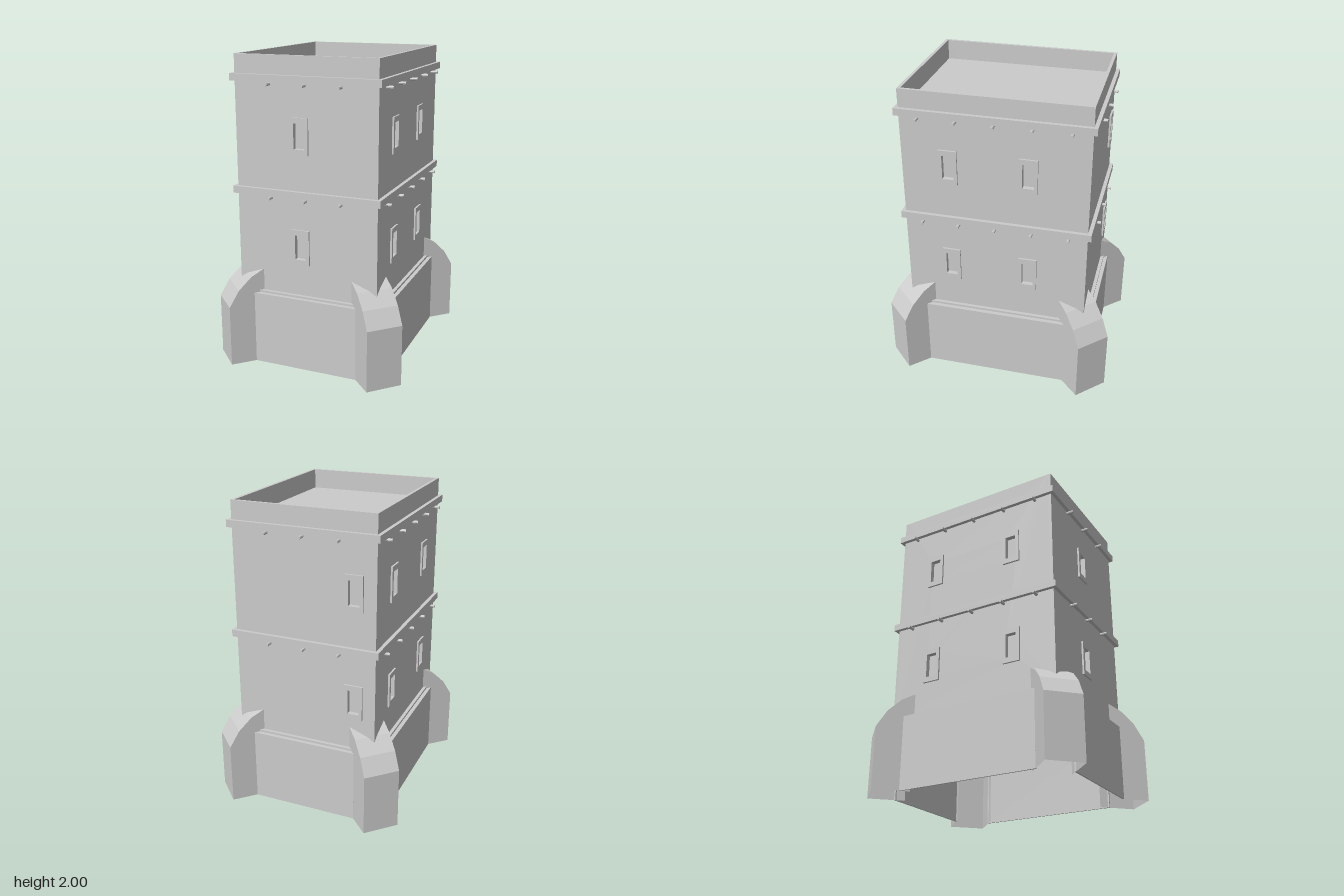
import * as THREE from 'three';

const grey = new THREE.MeshStandardMaterial({ color: 0xcccccc, flatShading: true });
const greyThin = new THREE.MeshStandardMaterial({ color: 0xcccccc, flatShading: true, side: THREE.DoubleSide });

const HX = 0.47, HZ = 0.588;      // half width and half depth of the tower
const WALL = 0.02;                // wall thickness
const FLOOR = 0.48, TOP = 2, ROOF = 1.87;
const BANDS = [1.13, 1.837];      // undersides of the two cornices
const STOREYS = [0.813, 1.518];   // window centre heights

function add(parent, name, geometry, x = 0, y = 0, z = 0, material = grey) {
  const mesh = new THREE.Mesh(geometry, material);
  mesh.name = name;
  mesh.position.set(x, y, z);
  parent.add(mesh);
  return mesh;
}

// Box centred on x and z, given by half sizes and its bottom and top
function slab(parent, name, hx, hz, y0, y1) {
  return add(parent, name, new THREE.BoxGeometry(hx * 2, y1 - y0, hz * 2), 0, (y0 + y1) / 2, 0);
}

// Trace a rectangle into a Shape or Path
function rect(path, cx, cy, w, h) {
  path.moveTo(cx - w / 2, cy - h / 2);
  path.lineTo(cx + w / 2, cy - h / 2);
  path.lineTo(cx + w / 2, cy + h / 2);
  path.lineTo(cx - w / 2, cy + h / 2);
  path.closePath();
  return path;
}

const opening = (cx, cy) => rect(new THREE.Path(), cx, cy, 0.072, 0.158);
const extrude = (shape, depth) => new THREE.ExtrudeGeometry(shape, { depth, bevelEnabled: false });

// One side of the tower: pierced wall, window frames, beam ends and base wall
function makeSide({ name, angle, distance, length, windows, beams, baseLength }) {
  const side = new THREE.Group();
  side.name = name;
  side.rotation.y = angle;

  const wall = rect(new THREE.Shape(), 0, (FLOOR + TOP) / 2, length, TOP - FLOOR);
  for (const x of windows) {
    for (const y of STOREYS) {
      wall.holes.push(opening(x, y));
      const frame = rect(new THREE.Shape(), x, y, 0.117, 0.228);
      frame.holes.push(opening(x, y));
      add(side, 'windowFrame', extrude(frame, 0.012), 0, 0, distance);
    }
  }
  add(side, 'wall', extrude(wall, WALL), 0, 0, distance - WALL);

  // Beam ends under each cornice
  const beam = new THREE.CylinderGeometry(0.01, 0.01, 0.068, 8).rotateX(Math.PI / 2);
  for (const y of BANDS) {
    for (let i = 0; i < beams; i++) {
      add(side, 'beamEnd', beam, (i - (beams - 1) / 2) * 0.235, y - 0.012, distance + 0.014);
    }
  }

  // Base wall between two buttresses
  add(side, 'baseWall', new THREE.BoxGeometry(baseLength, FLOOR, 0.01), 0, FLOOR / 2, distance + 0.043);
  return side;
}

// Diagonal corner buttress: hollow, with a rounded shoulder leaning on the corner
function makeButtress(sx, sz) {
  const buttress = new THREE.Group();
  buttress.name = 'buttress';
  const half = 0.118;
  const profile = [[0, 0], [0, 0.4], [0.065, 0.508], [0.15, 0.59], [0.236, 0.636]]; // inward, height

  const strip = new THREE.PlaneGeometry(half * 2, 1, 1, profile.length - 1);
  const pos = strip.attributes.position;
  for (let i = 0; i < pos.count; i++) {
    const [d, y] = profile[profile.length - 1 - Math.floor(i / 2)];
    pos.setXYZ(i, pos.getX(i), y, -d);
  }
  strip.computeVertexNormals();
  add(buttress, 'buttressFace', strip, 0, 0, 0, greyThin);

  const cheek = new THREE.Shape(profile.map(([d, y]) => new THREE.Vector2(d, y)));
  cheek.lineTo(0.236, 0);
  const cheekGeometry = new THREE.ShapeGeometry(cheek).rotateY(Math.PI / 2);
  for (const s of [-1, 1]) add(buttress, 'buttressCheek', cheekGeometry, s * half, 0, 0, greyThin);

  buttress.position.set(sx * (HX + 0.0835), 0, sz * (HZ + 0.0835));
  buttress.rotation.y = Math.atan2(sx, sz);
  return buttress;
}

export function createModel() {
  const tower = new THREE.Group();
  tower.name = 'tower';

  // Core: its top is the sunken roof, its sides close the window recesses
  slab(tower, 'core', HX - WALL, HZ - WALL, FLOOR, ROOF);

  // Cornices
  for (const y of BANDS) slab(tower, 'cornice', HX + 0.024, HZ + 0.024, y, y + 0.045).visible = false;

  // Cornice rings, open in the middle so the roof stays sunken
  for (const y of BANDS) {
    const ring = rect(new THREE.Shape(), 0, 0, (HX + 0.024) * 2, (HZ + 0.024) * 2);
    ring.holes.push(rect(new THREE.Path(), 0, 0, HX * 2 - 0.01, HZ * 2 - 0.01));
    add(tower, 'cornice', extrude(ring, 0.045).rotateX(-Math.PI / 2), 0, y, 0);
  }
  tower.children.filter((part) => !part.visible).forEach((part) => tower.remove(part));

  // Stepped ledge on top of the base
  slab(tower, 'ledge', HX + 0.048, HZ + 0.048, FLOOR - 0.01, FLOOR);
  slab(tower, 'ledgeStep', HX + 0.022, HZ + 0.022, FLOOR, FLOOR + 0.014);

  const long = HZ * 2 - WALL * 2;
  const sides = [
    { name: 'frontSide', angle: 0, distance: HZ, length: HX * 2, windows: [-0.036], beams: 3, baseLength: 0.702 },
    { name: 'backSide', angle: Math.PI, distance: HZ, length: HX * 2, windows: [0.33], beams: 3, baseLength: 0.702 },
    { name: 'leftSide', angle: Math.PI / 2, distance: HX, length: long, windows: [-0.291, 0.212], beams: 5, baseLength: 0.938 },
    { name: 'rightSide', angle: -Math.PI / 2, distance: HX, length: long, windows: [-0.3, 0.291], beams: 5, baseLength: 0.938 },
  ];
  for (const side of sides) tower.add(makeSide(side));

  for (const sx of [-1, 1]) for (const sz of [-1, 1]) tower.add(makeButtress(sx, sz));
  return tower;
}
